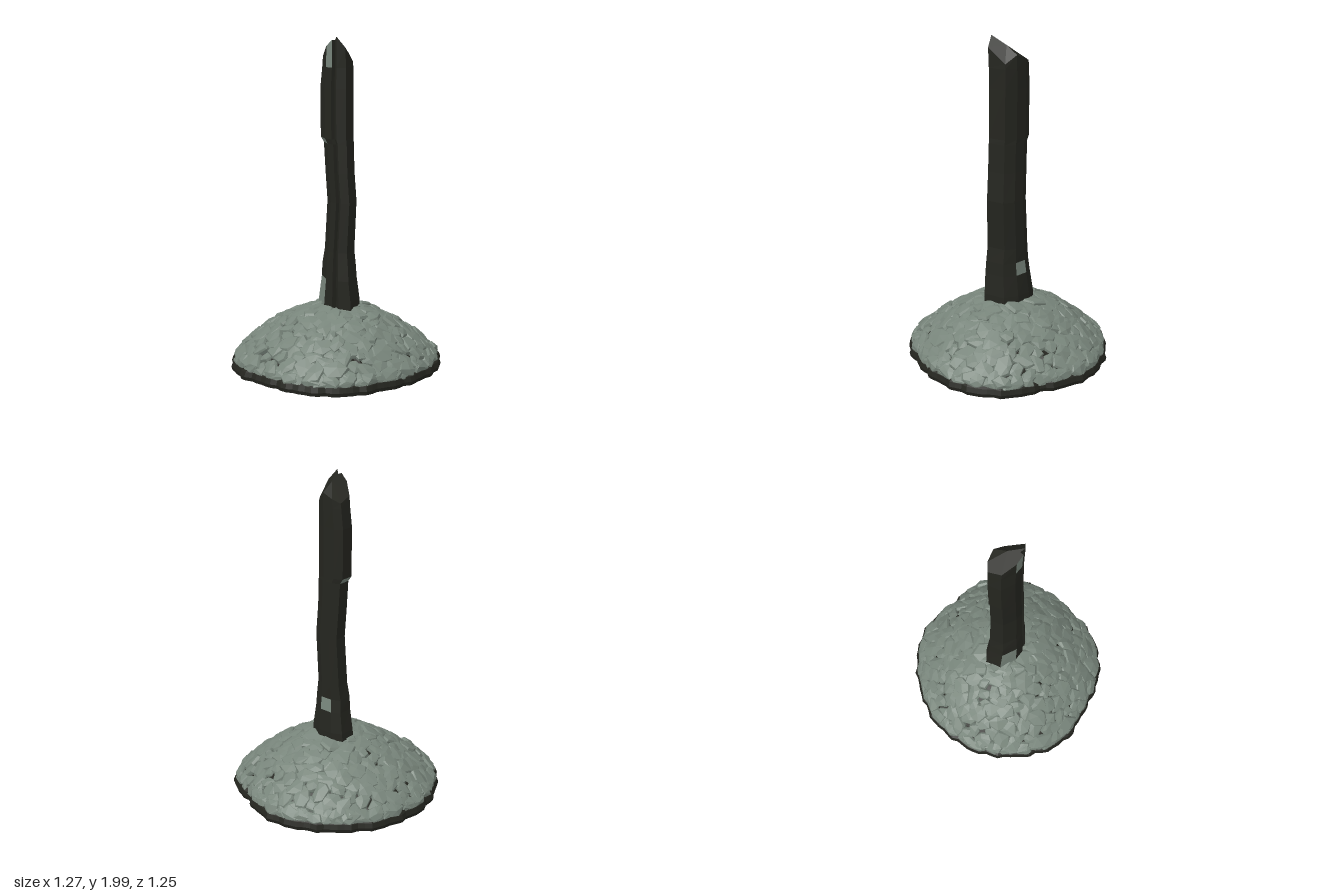
import * as THREE from 'three';
import { mergeGeometries } from 'three/addons/utils/BufferGeometryUtils.js';
import { ConvexGeometry } from 'three/addons/geometries/ConvexGeometry.js';

const V = (x, y, z) => new THREE.Vector3(x, y, z);
const material = (color) => new THREE.MeshStandardMaterial({ color, flatShading: true });
const moss = material(0x78857b);
const dark = material(0x24251f);

function seeded(seed) {
  return () => (seed = (seed * 16807) % 2147483647) / 2147483647;
}

function named(name, geometry, mat) {
  const mesh = new THREE.Mesh(geometry, mat);
  mesh.name = name;
  return mesh;
}

// Ragged outline of the mound: a radius every 15 degrees from +z towards +x
const RADII = [0.615, 0.615, 0.605, 0.58, 0.59, 0.6, 0.625, 0.635, 0.63, 0.59, 0.61, 0.63,
  0.625, 0.62, 0.62, 0.635, 0.63, 0.64, 0.635, 0.635, 0.645, 0.64, 0.6, 0.6];
function outline(angle) {
  const t = (angle / (Math.PI * 2) + 1) % 1 * RADII.length;
  const i = Math.floor(t) % RADII.length;
  const smooth = THREE.MathUtils.lerp(RADII[i], RADII[(i + 1) % RADII.length], t - Math.floor(t));
  return smooth + 0.006 * Math.sin(23 * angle) + 0.005 * Math.sin(37 * angle + 4);
}

// Dome height at a fraction of the outline radius
const domeHeight = (f) => 0.05 + 0.325 * (1 - Math.pow(Math.min(f, 1), 2.05));

// Dark bed: flat underside, low vertical rim and the dome seen between stones
function createBed() {
  const profile = [[0, 0.008], [0.99, 0.008], [1, 0.03], [0.985, 0.058]];
  for (let i = 9; i >= 0; i--) {
    const f = i / 9 * 0.94;
    profile.push([f, domeHeight(f) - 0.012]);
  }
  const geometry = new THREE.LatheGeometry(profile.map(([f, y]) => new THREE.Vector2(f, y)), 96);
  const p = geometry.attributes.position;
  for (let i = 0; i < p.count; i++) {
    const k = outline(Math.atan2(p.getX(i), p.getZ(i)));
    p.setX(i, p.getX(i) * k);
    p.setZ(i, p.getZ(i) * k);
  }
  geometry.computeVertexNormals();
  return named('moundBed', geometry, dark);
}

// One flat, irregular stone lying on the dome at fraction f of the radius
function createStone(f, angle, size, rand) {
  const slope = (domeHeight(f + 0.02) - domeHeight(Math.max(f - 0.02, 0))) / 0.025;
  const normal = V(-slope * Math.sin(angle), 1, -slope * Math.cos(angle))
    .add(V(rand() - 0.5, 0, rand() - 0.5).multiplyScalar(0.35)).normalize();
  const turn = new THREE.Quaternion().setFromUnitVectors(V(0, 1, 0), normal);
  const r = f * outline(angle);
  const centre = V(r * Math.sin(angle), domeHeight(f) - 0.004 + rand() * 0.012, r * Math.cos(angle));
  const sides = 5 + Math.floor(rand() * 3);
  const start = rand() * 6;
  const stretch = 0.8 + rand() * 0.45;
  const points = [];
  for (let i = 0; i < sides; i++) {
    const a = start + (i + 0.5 * rand()) / sides * Math.PI * 2;
    const s = size * (0.85 + 0.35 * rand());
    const x = Math.cos(a) * s * stretch, z = Math.sin(a) * s / stretch;
    points.push(V(x * 0.85, 0.003 + rand() * 0.008, z * 0.85), V(x, -0.007, z), V(x * 0.95, -0.03, z * 0.95));
  }
  points.push(V((rand() - 0.5) * size * 0.6, 0.015, (rand() - 0.5) * size * 0.6));
  for (const p of points) {
    p.applyQuaternion(turn).add(centre);
    const reach = Math.hypot(p.x, p.z);
    const limit = 0.98 * outline(Math.atan2(p.x, p.z));
    if (reach > limit) { p.x *= limit / reach; p.z *= limit / reach; }
    p.y = Math.max(p.y, 0.038 + rand() * 0.015);
  }
  return new ConvexGeometry(points);
}

// Stones spread in a spiral, a packed row along the rim and slabs round the post
function createRubble() {
  const rand = seeded(4711);
  const stones = [];
  const count = 230;
  for (let i = 6; i < count; i++) {
    const f = 0.96 * Math.sqrt((i + 0.5) / count) + 0.02 * (rand() - 0.5);
    stones.push(createStone(f, i * 2.39996, 0.045 + 0.033 * rand(), rand));
  }
  for (let i = 0; i < 52; i++) {
    stones.push(createStone(0.945, (i + 0.5 * rand()) / 52 * Math.PI * 2, 0.05 + 0.015 * rand(), rand));
  }
  for (let i = 0; i < 8; i++) {
    stones.push(createStone(0.2 + 0.05 * rand(), i / 8 * Math.PI * 2 + 0.3, 0.09, rand));
  }
  return named('rubble', mergeGeometries(stones), moss);
}

// Rough post: a section with a split in front, lofted through levels to a slanted top
function createPost() {
  const section = [[-1, -0.15], [-0.75, -0.95], [-0.2, -1], [0.5, -0.75], [1, -0.2],
    [0.88, 0.95], [0.3, 1], [0.12, 0.74], [-0.03, 0.92], [-0.5, 0.62]];
  const sides = section.length;
  // y, left, right, back, front
  const levels = [
    [0.28, -0.14, 0.135, -0.145, 0.1], [0.42, -0.125, 0.13, -0.14, 0.1],
    [0.55, -0.105, 0.115, -0.125, 0.1], [0.63, -0.1, 0.11, -0.115, 0.095],
    [0.72, -0.085, 0.1, -0.115, 0.09], [1.02, -0.068, 0.113, -0.11, 0.085],
    [1.2, -0.08, 0.1, -0.108, 0.083], [1.37, -0.09, 0.095, -0.107, 0.08],
    [1.4, -0.11, 0.093, -0.11, 0.08], [1.7, -0.112, 0.09, -0.112, 0.08],
    [1.82, -0.1, 0.09, -0.112, 0.08], [null, -0.095, 0.088, -0.112, 0.085]];
  const topY = (x, z) => 2 - 0.52 * (0.085 - z) - 0.5 * Math.abs(x - 0.024) - 2 * Math.max(0, x - 0.06);
  const rings = levels.map(([y, l, r, b, f]) => section.map(([u, w]) => {
    const x = (l + r) / 2 + u * (r - l) / 2;
    const z = (b + f) / 2 + w * (f - b) / 2;
    return V(x, y ?? topY(x, z), z);
  }));
  // Paler chipped faces, as level:side
  const chips = new Set(['0:9', '1:9', '2:2', '7:0', '7:9', '10:8']);
  const body = [], chipped = [];
  for (let j = 0; j < rings.length - 1; j++) {
    for (let i = 0; i < sides; i++) {
      const n = (i + 1) % sides;
      const a = rings[j][i], b = rings[j][n], c = rings[j + 1][i], d = rings[j + 1][n];
      (chips.has(`${j}:${i}`) ? chipped : body).push(b, a, c, b, c, d);
    }
  }
  const top = rings[rings.length - 1];
  const ridge = V(0.02, topY(0.02, -0.01), -0.01);
  top.forEach((p, i) => body.push(top[(i + 1) % sides], p, ridge));

  const surface = (points) => {
    const geometry = new THREE.BufferGeometry().setFromPoints(points);
    geometry.computeVertexNormals();
    return geometry;
  };
  const post = new THREE.Group();
  post.name = 'post';
  post.add(named('postBody', surface(body), dark), named('postChips', surface(chipped), moss));
  return post;
}

export function createModel() {
  const model = new THREE.Group();
  model.name = 'postOnMound';
  model.add(createBed(), createRubble(), createPost());
  return model;
}
